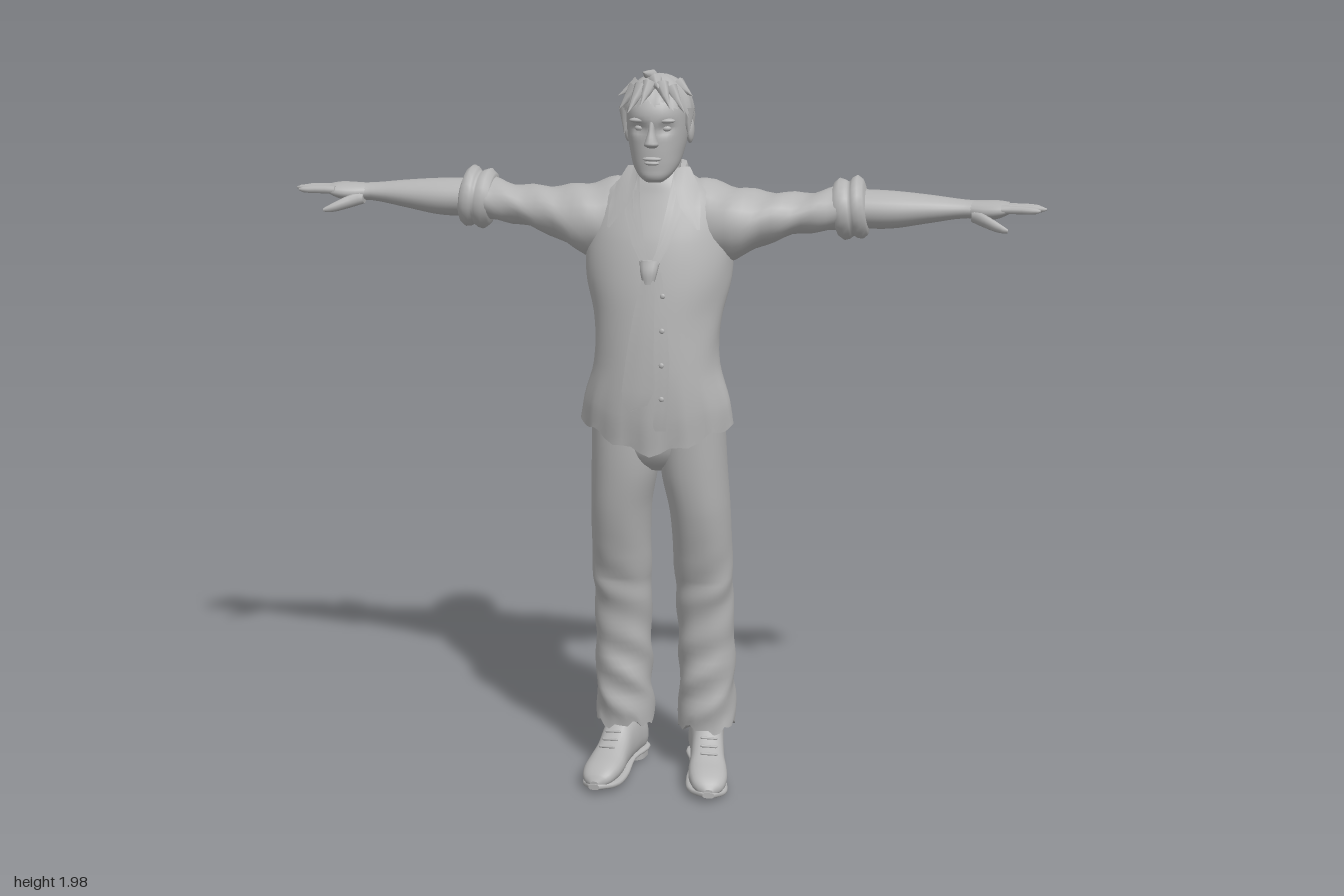
import * as THREE from 'three';

const grey = new THREE.MeshStandardMaterial({ color: 0xb4b4b4, side: THREE.DoubleSide });
grey.name = 'plainGrey';

// Rings are [t, u0, u1, v0, v1]: station on the axis, then bounds on the other two axes.
const sampler = (rings) => {
  const curve = new THREE.CubicInterpolant(rings.map((r) => r[0]), rings.flatMap((r) => r.slice(1)), 4);
  return (t) => [...curve.evaluate(t)];
};

// Closed skin through the rings, with an optional rule that moves each point.
function loft(rings, { axis = 'y', n = 24, sub = 4, p = 2, rule } = {}) {
  const at = sampler(rings), pos = [], idx = [], stations = [];
  rings.forEach((r, i) => {
    const next = rings[i + 1];
    for (let k = 0; k < (next ? sub : 1); k++) stations.push(next ? r[0] + (next[0] - r[0]) * k / sub : r[0]);
  });
  const place = (t, u, v) => axis === 'y' ? [u, t, v] : axis === 'x' ? [t, u, v] : [u, v, t];
  const pw = (c) => Math.sign(c) * Math.abs(c) ** (2 / p);
  const centres = [];
  for (const t of stations) {
    const [u0, u1, v0, v1] = at(t), mean = new THREE.Vector3();
    for (let j = 0; j < n; j++) {
      const a = j / n * Math.PI * 2;
      const q = new THREE.Vector3(...place(t, (u0 + u1) / 2 + (u1 - u0) / 2 * pw(Math.cos(a)), (v0 + v1) / 2 + (v1 - v0) / 2 * pw(Math.sin(a))));
      if (rule) rule(q, a, t);
      pos.push(q.x, q.y, q.z);
      mean.addScaledVector(q, 1 / n);
    }
    centres.push(mean);
  }
  const m = stations.length, flip = axis === 'x';
  const tri = (a, b, c) => flip ? idx.push(a, c, b) : idx.push(a, b, c);
  for (let i = 0; i < m - 1; i++) for (let j = 0; j < n; j++) {
    const a = i * n + j, b = i * n + (j + 1) % n;
    tri(a, a + n, b);
    tri(b, a + n, b + n);
  }
  // Caps use their own vertices so that the rims stay sharp
  for (const i of [0, m - 1]) {
    const base = pos.length / 3, c = centres[i];
    pos.push(...pos.slice(i * n * 3, (i + 1) * n * 3), c.x, c.y, c.z);
    for (let j = 0; j < n; j++) {
      const a = base + j, b = base + (j + 1) % n;
      i ? tri(a, base + n, b) : tri(a, b, base + n);
    }
  }
  if (axis === 'z') for (let i = 0; i < idx.length; i += 3) [idx[i], idx[i + 1]] = [idx[i + 1], idx[i]];
  return finish(pos, idx);
}

function finish(pos, idx) {
  const g = new THREE.BufferGeometry();
  g.setAttribute('position', new THREE.Float32BufferAttribute(pos, 3));
  g.setIndex(idx);
  g.computeVertexNormals();
  return g;
}

function mirrored(geo) {
  const g = geo.clone().scale(-1, 1, 1), ix = g.index.array;
  for (let i = 0; i < ix.length; i += 3) [ix[i], ix[i + 1]] = [ix[i + 1], ix[i]];
  g.computeVertexNormals();
  return g;
}

const torsoRings = [
  [1.05, -.205, .205, -.11, .165], [1.12, -.195, .195, -.095, .175], [1.22, -.167, .167, -.075, .178],
  [1.35, -.172, .172, -.1, .168], [1.45, -.193, .193, -.122, .155], [1.55, -.195, .195, -.128, .132],
  [1.62, -.185, .185, -.12, .105], [1.67, -.15, .15, -.1, .085], [1.7, -.1, .1, -.08, .075], [1.73, -.06, .06, -.05, .06]];
const torsoAt = sampler(torsoRings);
const chestZ = (x, y) => {
  const [x0, x1, z0, z1] = torsoAt(Math.min(Math.max(y, 1.05), 1.73));
  return (z0 + z1) / 2 + (z1 - z0) / 2 * Math.sqrt(Math.max(0, 1 - (2 * x / (x1 - x0)) ** 2));
};

// Thin cloth laid over the chest, rows of [xLeft, xRight, y] from top to bottom
function cloth(rows, lift) {
  const pos = [], idx = [];
  rows.forEach(([a, b, y], i) => {
    for (let k = 0; k < 4; k++) {
      const x = a + (b - a) * k / 3;
      pos.push(x, y, chestZ(x, y) + lift);
      if (i && k) { const q = i * 4 + k; idx.push(q - 5, q - 1, q - 4, q - 4, q - 1, q); }
    }
  });
  return finish(pos, idx);
}

export function createModel() {
  const model = new THREE.Group();
  const add = (name, geo) => {
    const mesh = new THREE.Mesh(geo, grey);
    mesh.name = name;
    model.add(mesh);
    return mesh;
  };
  const pair = (name, geo) => { add(name + 'Left', geo); add(name + 'Right', mirrored(geo)); };
  const ball = (x, y, z, rx, ry, rz) => new THREE.SphereGeometry(1, 14, 10).scale(rx, ry, rz).translate(x, y, z);
  const { sin, cos, exp, PI, max, abs } = Math;

  // Shirt body with soft creases and a hem that dips at the front
  add('shirtBody', loft(torsoRings, { n: 48, rule: (q, a, t) => {
    const low = max(0, 1 - (t - 1.05) / .14), front = max(0, sin(a));
    q.y += low * (-.055 * front ** 4 + .025 * max(0, -sin(a)) + .008 * sin(a * 11));
    const crease = 1 + low * .025 * sin(a * 9) + .008 * sin(a * 6 + t * 28);
    q.x *= crease;
    q.z += low * .006 * sin(a * 13);
  } }));
  add('shirtPlacket', cloth([[0, .03, 1.48], [.012, .045, 1.38], [.02, .055, 1.25], [.015, .05, 1.12], [.01, .045, 1.06]], .007));
  for (const y of [1.42, 1.33, 1.24, 1.15]) add('shirtButton', ball(.035, y, chestZ(.035, y) + .008, .007, .007, .004));

  // Collar and neckline
  pair('collarFlap', cloth([[.045, .082, 1.735], [.052, .108, 1.69], [.07, .12, 1.64], [.115, .122, 1.585]], .014));
  pair('necklineEdge', cloth([[.045, .062, 1.72], [.035, .06, 1.64], [.02, .042, 1.56], [.005, .02, 1.49]], .007));
  add('collarStand', loft([[1.66, -.088, .088, -.085, .085], [1.71, -.08, .08, -.075, .07], [1.745, -.07, .07, -.062, .06]],
    { rule: (q) => { q.y -= .5 * max(0, q.z + .01); } }));

  // Loosened tie
  pair('tieBand', cloth([[.06, .08, 1.69], [.05, .073, 1.62], [.025, .05, 1.55], [.0, .022, 1.5]], .013));
  add('tieKnot', loft([[1.45, -.018, .012, .15, .172], [1.48, -.025, .02, .142, .172], [1.51, -.028, .026, .136, .162]], { n: 12 }));
  add('tieBlade', cloth([[-.02, .014, 1.46], [-.038, .016, 1.38], [-.055, .016, 1.28], [-.07, .016, 1.17], [-.068, .0, 1.135], [-.055, -.045, 1.115]], .016));

  // Sleeves, rolled cuffs and forearms
  pair('sleeve', loft([[.06, 1.48, 1.705, -.1, .05], [.12, 1.475, 1.697, -.125, .075], [.2, 1.49, 1.678, -.13, .085],
    [.3, 1.54, 1.667, -.11, .065], [.4, 1.567, 1.67, -.095, .045], [.48, 1.57, 1.69, -.1, .04]],
  { axis: 'x', rule: (q, a, t) => { q.y += .004 * sin(t * 60 + a * 2); } }));
  pair('rolledCuff', loft([[.455, 1.575, 1.675, -.09, .03], [.46, 1.557, 1.695, -.108, .038], [.49, 1.55, 1.703, -.114, .042],
    [.5, 1.558, 1.698, -.108, .038], [.51, 1.552, 1.71, -.115, .042], [.535, 1.56, 1.706, -.112, .038], [.542, 1.58, 1.68, -.09, .025]],
  { axis: 'x', sub: 2, rule: (q) => { q.x -= .12 * (q.y - 1.63); } }));
  pair('forearm', loft([[.5, 1.58, 1.68, -.095, .03], [.6, 1.58, 1.678, -.095, .028], [.7, 1.597, 1.67, -.085, .015],
    [.79, 1.612, 1.66, -.075, 0], [.83, 1.613, 1.658, -.075, .002]], { axis: 'x' }));

  // Hands
  pair('palm', loft([[.8, 1.615, 1.658, -.072, -.002], [.84, 1.61, 1.66, -.078, .012], [.88, 1.616, 1.66, -.084, .018],
    [.905, 1.628, 1.656, -.084, .014]], { axis: 'x', n: 16 }));
  const fingers = [[-.073, -.082, .955, 1.636], [-.048, -.054, .99, 1.642], [-.023, -.02, 1, 1.644], [.004, .012, .985, 1.644]];
  for (const [z0, z1, tip, y] of fingers) {
    const mid = (z0 + z1) / 2, x1 = (.89 + tip) / 2;
    pair('finger', loft([[.885, y - .011, y + .011, z0 - .013, z0 + .013], [x1, y - .01, y + .01, mid - .011, mid + .011],
      [tip - .012, y - .008, y + .007, z1 - .009, z1 + .009], [tip, y - .003, y + .002, z1 - .003, z1 + .003]], { axis: 'x', n: 10, sub: 2 }));
  }
  pair('thumb', loft([[.81, 1.607, 1.64, -.03, .005], [.845, 1.598, 1.632, .0, .035], [.885, 1.59, 1.613, .03, .052],
    [.905, 1.592, 1.602, .047, .055]], { axis: 'x', n: 10, sub: 3 }));

  // Trousers with worn hems
  add('trouserSeat', loft([[.92, -.05, .05, -.04, .06], [.95, -.13, .13, -.085, .1], [1.02, -.178, .178, -.09, .128], [1.12, -.165, .165, -.075, .135]]));
  pair('trouserLeg', loft([[.145, .035, .197, -.188, -.008], [.25, .04, .196, -.178, -.002], [.4, .04, .195, -.158, .004],
    [.52, .036, .194, -.142, .02], [.6, .034, .194, -.13, .04], [.8, .027, .19, -.115, .098], [.92, .006, .184, -.1, .12], [1.08, .002, .178, -.08, .135]],
  { n: 32, sub: 6, p: 2.2, rule: (q, a, t) => {
    const low = max(0, 1 - (t - .145) / .05), slack = exp(-(((t - .28) / .16) ** 2)) + .6 * exp(-(((t - .58) / .08) ** 2));
    q.y += low * .016 * sin(a * 7) * cos(a * 3);
    q.z += .007 * slack * sin(t * 55 + a * 2);
    q.x += .004 * slack * sin(t * 42 + a * 3);
  } }));

  // Shoes, turned outward
  const turn = (g) => g.translate(0, 0, .1).rotateZ(-.09).rotateY(.2).translate(.107, .006, -.1);
  pair('shoeUpper', turn(loft([[-.172, -.025, .025, .03, .08], [-.155, -.043, .043, .015, .13], [-.1, -.048, .048, .015, .165],
    [-.04, -.046, .046, .015, .15], [.01, -.048, .048, .015, .11], [.06, -.054, .054, .014, .085], [.11, -.05, .05, .013, .07],
    [.14, -.034, .034, .015, .052], [.153, -.012, .012, .02, .035]], { axis: 'z', p: 2.3 })));
  pair('shoeSole', turn(loft([[-.172, -.03, .03, .018, .032], [-.15, -.047, .047, .016, .034], [-.05, -.042, .042, .018, .034],
    [.06, -.058, .058, .002, .026], [.12, -.05, .05, .004, .026], [.157, -.016, .016, .012, .028]], { axis: 'z', p: 3 })));
  pair('shoeHeel', turn(loft([[0, -.04, .04, -.165, -.09], [.025, -.043, .043, -.168, -.088]], { p: 3, sub: 1 })));
  for (const [z, y] of [[-.005, .121], [.02, .107], [.045, .095]])
    pair('shoelace', turn(new THREE.CapsuleGeometry(.004, .04, 3, 6).rotateZ(PI / 2).translate(0, y, z)));

  // Neck and head with eye sockets
  add('neck', loft([[1.52, -.07, .07, -.05, .1], [1.64, -.06, .06, -.05, .085], [1.71, -.056, .056, -.045, .07], [1.8, -.06, .06, -.05, .07]]));
  add('head', loft([[1.705, -.022, .022, .07, .108], [1.715, -.036, .036, .045, .12], [1.74, -.056, .056, .0, .124], [1.78, -.069, .069, -.045, .127],
    [1.82, -.077, .077, -.062, .128], [1.86, -.08, .08, -.075, .135], [1.9, -.08, .08, -.08, .13], [1.94, -.062, .062, -.055, .1], [1.965, -.03, .03, -.01, .06]],
  { n: 40, p: 2.2, rule: (q) => {
    if (q.z > .05) q.z -= .016 * exp(-(((abs(q.x) - .034) / .02) ** 2) - ((q.y - 1.845) / .014) ** 2);
  } }));
  add('nose', loft([[1.797, -.012, .012, .11, .135], [1.805, -.019, .019, .11, .156], [1.815, -.016, .016, .11, .157],
    [1.84, -.009, .009, .11, .145], [1.865, -.008, .008, .11, .135]], { n: 12 }));
  add('upperLip', ball(0, 1.768, .124, .025, .006, .01));
  add('lowerLip', ball(0, 1.757, .122, .02, .006, .011));
  pair('eye', ball(.034, 1.845, .107, .014, .008, .01));
  pair('brow', ball(.034, 1.866, .118, .026, .007, .012).rotateZ(.0));
  pair('ear', ball(.081, 1.83, .015, .011, .034, .02));

  // Hair cap: hairline high at the brow, low at the nape, ragged all round
  const cap = new THREE.SphereGeometry(1, 48, 16), P = cap.attributes.position, U = cap.attributes.uv;
  for (let i = 0; i < P.count; i++) {
    const f = (i % 49) / 48 * 2 * PI, v = Math.floor(i / 49) / 16, s = sin(f);
    const th = v * PI * (.54 - .16 * max(0, s) + .18 * max(0, -s) + .025 * sin(f * 12));
    const r = 1 + .025 * sin(f * 12 + v * 5) * sin(th);
    P.setXYZ(i, -.092 * r * cos(f) * sin(th), 1.87 + .105 * r * cos(th), .025 + .12 * r * s * sin(th));
  }
  cap.computeVertexNormals();
  add('hairCap', cap);

  // Loose locks, each [base, tip]
  const locks = [[[-.03, 1.95, .1], [-.06, 1.885, .145]], [[-.01, 1.955, .1], [-.025, 1.905, .155]], [[.02, 1.955, .1], [.05, 1.9, .145]],
    [[.04, 1.945, .085], [.082, 1.885, .11]], [[-.05, 1.945, .08], [-.09, 1.89, .1]], [[.0, 1.96, .07], [.02, 1.95, .145]],
    [[-.05, 1.95, .04], [-.1, 1.92, .06]], [[.05, 1.95, .03], [.094, 1.92, .05]], [[-.02, 1.965, .02], [-.03, 1.985, .09]],
    [[.08, 1.89, .05], [.084, 1.82, .06]], [[-.08, 1.89, .05], [-.084, 1.82, .06]]];
  for (const [a, b] of locks) {
    const base = new THREE.Vector3(...a), dir = new THREE.Vector3(...b).sub(base), len = dir.length();
    const lock = add('hairLock', new THREE.ConeGeometry(.02, len, 7, 2));
    lock.position.copy(base).addScaledVector(dir, .5);
    lock.quaternion.setFromUnitVectors(new THREE.Vector3(0, 1, 0), dir.normalize());
  }
  return model;
}
